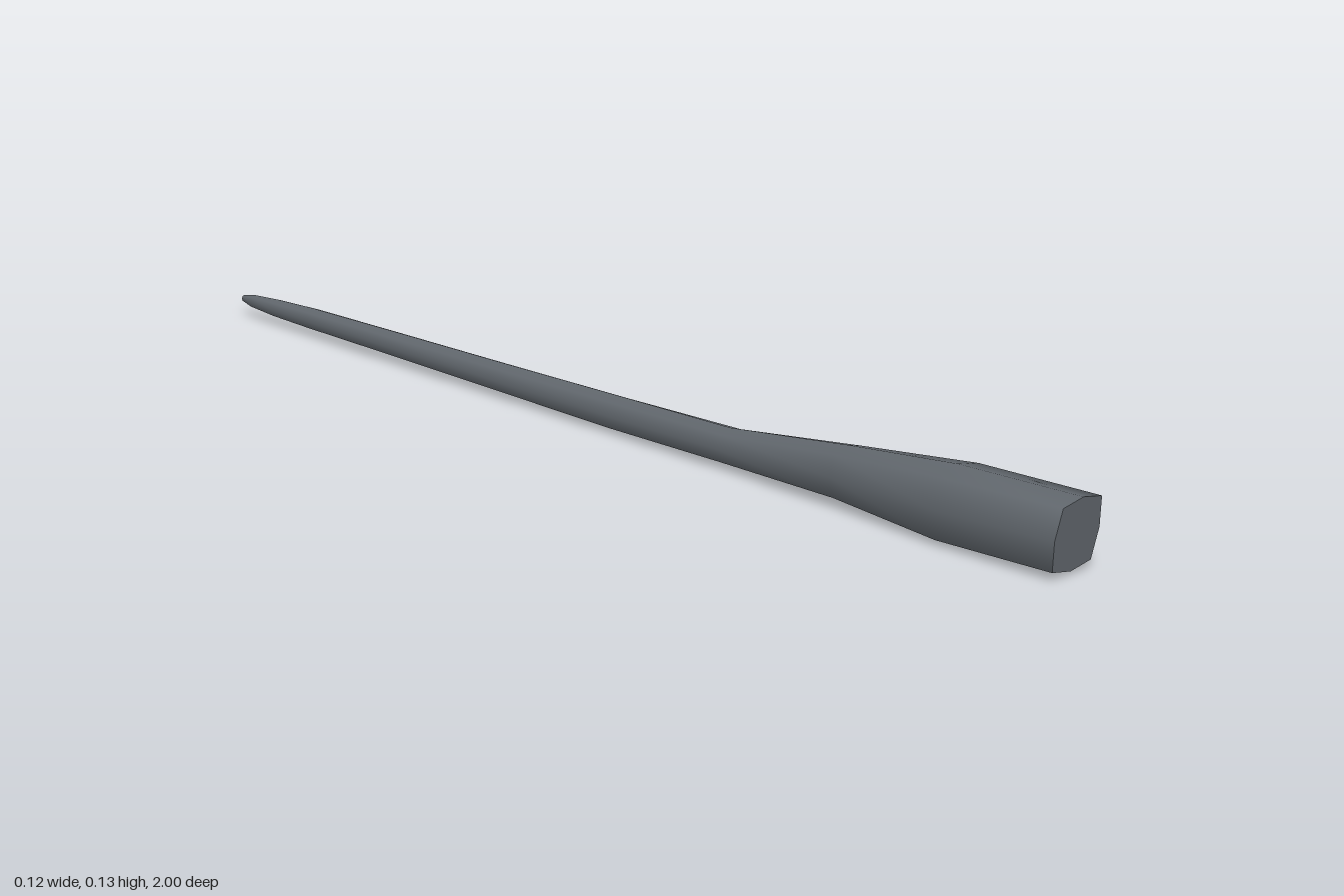
import * as THREE from 'three';

// Stations along the stick: z, top y, bottom y, half width, corner fullness
const STATIONS = [
  [0.99, 0.132, 0.009, 0.052, 0.86],
  [0.75, 0.125, 0.003, 0.058, 0.84],
  [0.52, 0.102, 0.013, 0.042, 0.80],
  [0.26, 0.071, 0.010, 0.030, 0.76],
  [0.00, 0.067, 0.006, 0.026, 0.74],
  [-0.30, 0.062, 0.010, 0.024, 0.73],
  [-0.60, 0.058, 0.014, 0.022, 0.72],
  [-0.80, 0.055, 0.016, 0.020, 0.72],
  [-0.90, 0.051, 0.018, 0.017, 0.72],
  [-0.97, 0.046, 0.022, 0.012, 0.72],
  [-1.00, 0.040, 0.028, 0.006, 0.72],
];
const SIDES = 8;

// Eight-cornered section: four axis points and four fuller diagonal corners
function ring([z, top, bottom, w, full], slant) {
  const cy = (top + bottom) / 2, h = (top - bottom) / 2;
  return Array.from({ length: SIDES }, (_, j) => {
    const a = (j / SIDES) * Math.PI * 2;
    const k = j % 2 ? full * Math.SQRT2 : 1;
    const u = Math.cos(a) * k, v = Math.sin(a) * k;
    return new THREE.Vector3(u * w, cy + v * h, z + slant * v);
  });
}

function makeGeometry(points, index) {
  const g = new THREE.BufferGeometry().setFromPoints(points);
  g.setIndex(index);
  g.computeVertexNormals();
  return g;
}

// Smooth skin through all rings
function loft(rings) {
  const index = [];
  for (let i = 0; i < rings.length - 1; i++) {
    for (let j = 0; j < SIDES; j++) {
      const a = i * SIDES + j, b = i * SIDES + ((j + 1) % SIDES);
      index.push(a, a + SIDES, b, b, a + SIDES, b + SIDES);
    }
  }
  return makeGeometry(rings.flat(), index);
}

// Flat end closing one ring
function cap(points, back) {
  const index = [];
  for (let j = 1; j < SIDES - 1; j++) {
    index.push(0, ...(back ? [j + 1, j] : [j, j + 1]));
  }
  return makeGeometry(points, index);
}

export function createModel() {
  const group = new THREE.Group();
  group.name = 'taperedStick';
  const material = new THREE.MeshStandardMaterial({ color: 0x62686e });
  const rings = STATIONS.map((s, i) => ring(s, i === 0 ? 0.01 : 0));

  const add = (name, geometry) => {
    const mesh = new THREE.Mesh(geometry, material);
    mesh.name = name;
    group.add(mesh);
  };
  add('handleAndShaft', loft(rings));
  add('handleEnd', cap(rings[0], false));
  add('shaftTip', cap(rings[rings.length - 1], true));
  return group;
}
